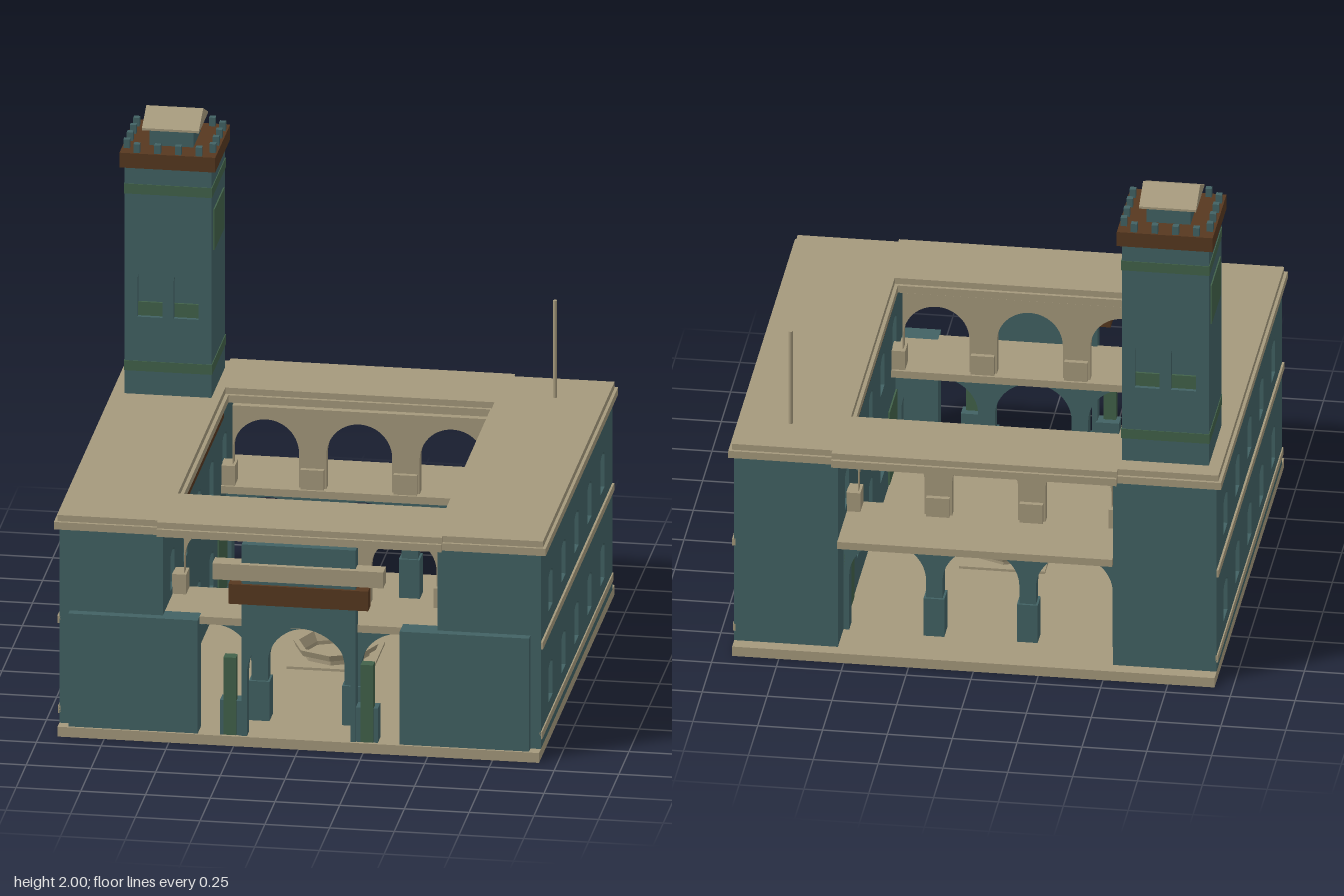
import * as THREE from 'three';

const mat = (name, color) => Object.assign(new THREE.MeshStandardMaterial({ color }), { name });

export function createModel() {
  const root = new THREE.Group();
  root.name = 'courtyardBuilding';
  const teal = mat('teal wall', 0x426264);
  const sand = mat('sand stone', 0xa5997c);
  const brown = mat('brown wood', 0x573820);
  const green = mat('green trim', 0x42624a);

  const add = (name, geo, material, parent = root) => {
    const m = new THREE.Mesh(geo, material);
    m.name = name;
    parent.add(m);
    return m;
  };
  // box given by its extents on each axis
  const box = (name, material, x0, x1, y0, y1, z0, z1, parent = root) => {
    const m = add(name, new THREE.BoxGeometry(x1 - x0, y1 - y0, z1 - z0), material, parent);
    m.position.set((x0 + x1) / 2, (y0 + y1) / 2, (z0 + z1) / 2);
    return m;
  };
  const extrude = (shape, depth) =>
    new THREE.ExtrudeGeometry(shape, { depth, bevelEnabled: false, curveSegments: 14 });
  const rect = (x0, x1, y0, y1) => new THREE.Shape([
    new THREE.Vector2(x0, y0), new THREE.Vector2(x1, y0),
    new THREE.Vector2(x1, y1), new THREE.Vector2(x0, y1)]);
  // arched outline from sill to crown
  const traceArch = (path, cx, y0, r, spring, rise) => {
    path.lineTo(cx - r, y0);
    path.lineTo(cx - r, spring);
    path.absellipse(cx, spring, r, rise, Math.PI, 0, true);
    path.lineTo(cx + r, y0);
  };
  const archHole = (cx, y0, r, spring, rise) => {
    const p = new THREE.Path();
    p.moveTo(cx - r, y0);
    traceArch(p, cx, y0, r, spring, rise);
    p.closePath();
    return p;
  };
  // wall standing on its piers, open below each arch
  const arcade = (x0, x1, y0, y1, centres, r, spring, rise) => {
    const s = new THREE.Shape();
    s.moveTo(x0, y0);
    centres.forEach(c => traceArch(s, c, y0, r, spring, rise));
    s.lineTo(x1, y0);
    s.lineTo(x1, y1);
    s.lineTo(x0, y1);
    s.closePath();
    return s;
  };

  // base slab
  box('baseSlab', sand, -0.93, 0.93, 0, 0.04, -0.935, 0.925);

  // side wings with recessed windows
  const windowZ = [-0.64, -0.32, 0, 0.32, 0.64];
  const skin = (name, x, dir, inner) => {
    const g = new THREE.Group();
    g.name = name;
    g.position.x = x;
    g.rotation.y = dir * Math.PI / 2;
    root.add(g);
    const wall = rect(-0.88, 0.88, 0.04, 0.83);
    for (const z of windowZ) for (const y of [0.16, 0.53]) {
      if (inner && y < 0.5 && Math.abs(z) > 0.5) continue;
      wall.holes.push(archHole(z, y, 0.052, y + 0.13, 0.022));
      box('windowPane', sand, z - 0.055, z + 0.055, y - 0.005, y + 0.157, 0, 0.006, g);
    }
    add('windowWall', extrude(wall, 0.045), teal, g);
    if (!inner) {
      box('lowerBand', sand, -0.88, 0.88, 0.08, 0.11, 0.04, 0.05, g);
      box('middleBand', sand, -0.88, 0.88, 0.445, 0.475, 0.04, 0.053, g);
    } else {
      box('courtyardBeam', brown, -0.57, 0.57, 0.77, 0.83, 0.04, 0.053, g);
      for (const s of [-1, 1])
        box('galleryDoor', green, s * 0.6 - 0.13, s * 0.6 + 0.13, 0.05, 0.36, 0.044, 0.051, g);
    }
  };
  for (const s of [-1, 1]) {
    const a = s * 0.575, b = s * 0.885;
    box('wingCore', teal, Math.min(a, b), Math.max(a, b), 0.04, 0.83, -0.88, 0.88);
    skin('outerWall', b, s, false);
    skin('innerWall', a, -s, true);
    // low block on each side of the entrance
    box('frontBlock', teal, s > 0 ? 0.39 : -0.89, s > 0 ? 0.89 : -0.39, 0.04, 0.5, 0.83, 0.915);
  }

  // front and back galleries
  const bays = [-0.36, 0, 0.36];
  for (const s of [-1, 1]) {
    const far = s > 0 ? 0.87 : 0.9;
    box('galleryFloor', sand, -0.53, 0.53, 0.47, 0.5, s > 0 ? 0.55 : -far, s > 0 ? far : -0.55);
    const lower = add('lowerArcade', extrude(arcade(-0.53, 0.53, 0.04, 0.47, bays, 0.148, 0.275, 0.145), 0.06), teal);
    lower.position.z = s * 0.7 - 0.03;
    const upper = add('upperArcade', extrude(arcade(-0.49, 0.49, 0.5, 0.82, bays, 0.127, 0.64, 0.13), 0.04), sand);
    upper.position.z = s * 0.6 - 0.02;
    for (const x of [-0.18, 0.18]) {
      box('columnBase', teal, x - 0.04, x + 0.04, 0.04, 0.2, s * 0.7 - 0.04, s * 0.7 + 0.04);
      box('postPedestal', sand, x - 0.045, x + 0.045, 0.5, 0.58, s * 0.6 - 0.04, s * 0.6 + 0.04);
    }
    for (const x of [-0.505, 0.505])
      box('endPedestal', sand, x - 0.027, x + 0.027, 0.5, 0.58, s * 0.6 - 0.04, s * 0.6 + 0.04);
  }

  // entrance portal
  const portal = add('portal', extrude(arcade(-0.22, 0.22, 0.04, 0.82, [0], 0.2, 0.29, 0.2), 0.055), teal);
  portal.position.z = 0.86;
  box('portalBrownBeam', brown, -0.27, 0.27, 0.58, 0.66, 0.87, 0.927);
  box('portalCornice', sand, -0.33, 0.33, 0.68, 0.745, 0.87, 0.937);
  for (const s of [-1, 1]) {
    box('portalPedestal', teal, s * 0.26 - 0.045, s * 0.26 + 0.045, 0.04, 0.18, 0.85, 0.91);
    box('greenPillar', green, s * 0.265 - 0.024, s * 0.265 + 0.024, 0.045, 0.36, 0.88, 0.925);
  }

  // two-step roof with a courtyard opening and projecting middle
  const roofTier = (name, w, back, front, inset, y0, y1) => {
    const pts = [[-w, -front], [-0.55, -front], [-0.55, -front - 0.02], [0.55, -front - 0.02], [0.55, -front], [w, -front],
      [w, -back], [0.55, -back], [0.55, -back + 0.025], [-0.55, -back + 0.025], [-0.55, -back], [-w, -back]];
    const s = new THREE.Shape(pts.map(p => new THREE.Vector2(...p)));
    const h = 0.52 - inset;
    s.holes.push(new THREE.Path([[-h, -0.575 + inset], [-h, 0.595 - inset], [h, 0.595 - inset], [h, -0.575 + inset]]
      .map(p => new THREE.Vector2(...p))));
    const m = add(name, extrude(s, y1 - y0), sand);
    m.rotation.x = -Math.PI / 2;
    m.position.y = y0;
  };
  roofTier('roofEave', 0.95, -0.9, 0.89, 0.014, 0.83, 0.86);
  roofTier('roofTop', 0.938, -0.888, 0.878, 0, 0.86, 0.885);

  // octagonal fountain
  box('fountainPlate', sand, -0.165, 0.165, 0.04, 0.05, -0.165, 0.165);
  const rim = [[0.13, 0.05], [0.13, 0.068], [0.155, 0.075], [0.165, 0.1], [0.142, 0.1], [0.12, 0.065], [0.12, 0.05]]
    .map(p => new THREE.Vector2(...p));
  const fountain = add('fountainRim', new THREE.LatheGeometry(rim, 8).toNonIndexed(), sand);
  fountain.geometry.computeVertexNormals();

  // tower
  const tower = new THREE.Group();
  tower.name = 'tower';
  tower.position.set(-0.7225, 0, -0.6425);
  root.add(tower);
  const h = 0.1675;
  box('towerCore', teal, -h, h, 0.88, 1.81, -h + 0.025, h - 0.025, tower);
  for (const s of [-1, 1]) {
    const face = new THREE.Group();
    face.name = 'towerFace';
    face.rotation.y = s > 0 ? 0 : Math.PI;
    tower.add(face);
    const wall = rect(-h, h, 0.88, 1.81);
    for (const x of [-0.07, 0.07]) {
      wall.holes.push(archHole(x, 1.2, 0.048, 1.35, 0.05));
      box('windowRail', green, x - 0.048, x + 0.048, 1.2, 1.255, h - 0.025, h - 0.016, face);
    }
    const m = add('towerWindowWall', extrude(wall, 0.025), teal, face);
    m.position.z = h - 0.025;
    box('sidePanel', green, s * (h + 0.001) - 0.004, s * (h + 0.001) + 0.004, 1.47, 1.635, -0.122, 0.122, tower);
  }
  for (const y of [0.98, 1.7])
    box('towerBand', green, -h - 0.003, h + 0.003, y, y + 0.04, -h - 0.003, h + 0.003, tower);
  box('parapet', brown, -0.185, 0.185, 1.81, 1.87, -0.185, 0.185, tower);
  for (const t of [-0.12, -0.04, 0.04, 0.12]) for (const s of [-1, 1]) {
    const e = s * 0.166;
    box('merlon', teal, t - 0.012, t + 0.012, 1.87, 1.905, e - 0.012, e + 0.012, tower);
    box('merlon', teal, e - 0.012, e + 0.012, 1.87, 1.905, t - 0.012, t + 0.012, tower);
  }
  box('belfry', teal, -0.085, 0.085, 1.87, 1.945, -0.085, 0.085, tower);
  // gabled cap with its ridge along x
  const gable = new THREE.Shape([[-0.11, 1.938], [0.11, 1.938], [0.11, 1.947], [0, 2], [-0.11, 1.947]]
    .map(p => new THREE.Vector2(...p)));
  const cap = add('gableRoof', extrude(gable, 0.22), sand, tower);
  cap.rotation.y = Math.PI / 2;
  cap.position.x = -0.11;

  // flagpole
  const pole = add('flagpole', new THREE.CylinderGeometry(0.008, 0.008, 0.4, 10), sand);
  pole.position.set(0.74, 1.08, -0.685);

  return root;
}
